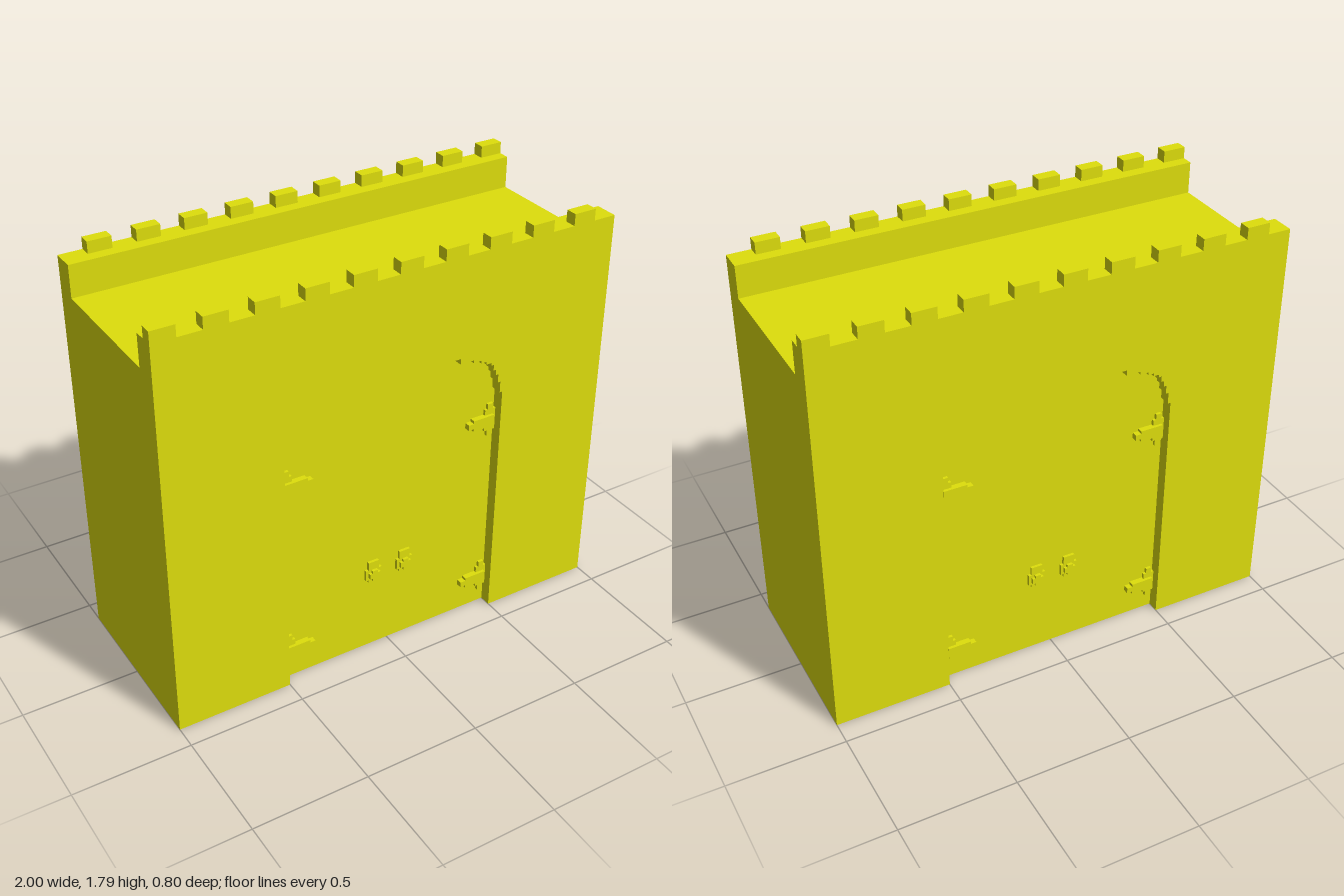
import * as THREE from 'three';

const TOP = 1.7375, MERLON = 0.05, FLOOR = 1.6, Z = 0.35;
const material = new THREE.MeshStandardMaterial({ color: 0xdede0c, flatShading: true });

function box(name, x0, x1, y0, y1, z0, z1) {
  const mesh = new THREE.Mesh(new THREE.BoxGeometry(x1 - x0, y1 - y0, z1 - z0), material);
  mesh.position.set((x0 + x1) / 2, (y0 + y1) / 2, (z0 + z1) / 2);
  mesh.name = name;
  return mesh;
}

// Stepped corner of the doorway arch: [half width, height where the step ends]
const archSteps = [
  [0.5, 1.0875], [0.4875, 1.1375], [0.475, 1.175], [0.4625, 1.2], [0.45, 1.225],
  [0.4375, 1.2375], [0.4125, 1.25], [0.3875, 1.2625], [0.35, 1.275], [0.2875, 1.2875],
];

// Outer wall leaf: doorway cut from the bottom, battlements along the top
function wallLeaf() {
  const arch = [[0.5, 0]];
  archSteps.forEach(([x, y], i) => {
    const next = archSteps[i + 1];
    arch.push([x, y]);
    arch.push([next ? next[0] : 0.2875, y]);
  });
  arch.push([0.2875, 1.3]);
  const points = [[-1, 0], ...arch.map(([x, y]) => [-x, y]), ...arch.slice().reverse(), [1, 0], [1, TOP]];
  for (let i = 9; i >= 0; i--) {
    const x = -1 + i * 0.2;
    points.push([x + 0.1, TOP], [x + 0.1, TOP + MERLON], [x, TOP + MERLON]);
    if (i > 0) points.push([x, TOP]);
  }
  const shape = new THREE.Shape(points.map(([x, y]) => new THREE.Vector2(x, y)));
  const geometry = new THREE.ExtrudeGeometry(shape, { depth: 0.05, bevelEnabled: false });
  const mesh = new THREE.Mesh(geometry, material);
  mesh.position.z = Z;
  mesh.name = 'battlementWall';
  return mesh;
}

// Strap hinge; side is +1 or -1
function hinge(side, y) {
  const group = new THREE.Group();
  group.name = 'hinge';
  const part = (name, xIn, xOut, half, thick) => {
    const a = side * xIn, b = side * xOut;
    group.add(box(name, Math.min(a, b), Math.max(a, b), y - half, y + half, Z, Z + thick));
  };
  part('hingePlate', 0.45, 0.5, 0.05, 0.0125);
  part('hingePin', 0.4625, 0.4875, 0.075, 0.0125);
  part('hingeArm', 0.3875, 0.4875, 0.025, 0.025);
  part('hingeTip', 0.3625, 0.3875, 0.0125, 0.025);
  return group;
}

// Door knob: stepped round plate with a tab above and a raised cross
function knob(x) {
  const group = new THREE.Group();
  group.name = 'doorKnob';
  const y = 0.375;
  const part = (name, w, y0, y1, thick) =>
    group.add(box(name, x - w, x + w, y + y0, y + y1, Z, Z + thick));
  part('knobPlate', 0.0375, -0.025, 0.025, 0.0125);
  part('knobTab', 0.025, -0.0375, 0.0625, 0.0125);
  part('knobCrossBar', 0.025, -0.0125, 0.0125, 0.025);
  part('knobCrossPost', 0.0125, -0.025, 0.025, 0.025);
  return group;
}

// One face of the gate: wall, inner parapet ledge and door fittings
function gateFace(name) {
  const group = new THREE.Group();
  group.name = name;
  group.add(wallLeaf(), box('parapetLedge', -1, 1, FLOOR, TOP, 0.3, Z));
  for (const side of [-1, 1]) {
    for (const y of [0.144, 0.944]) group.add(hinge(side, y));
    group.add(knob(side * 0.075));
  }
  return group;
}

export function createModel() {
  const model = new THREE.Group();
  model.name = 'castleGate';
  // Solid core: its faces are the doors, its top is the walkway
  model.add(box('doorsAndWalkway', -1, 1, 0, FLOOR, -Z, Z));
  const back = gateFace('backFace');
  back.rotation.y = Math.PI;
  model.add(gateFace('frontFace'), back);
  return model;
}
